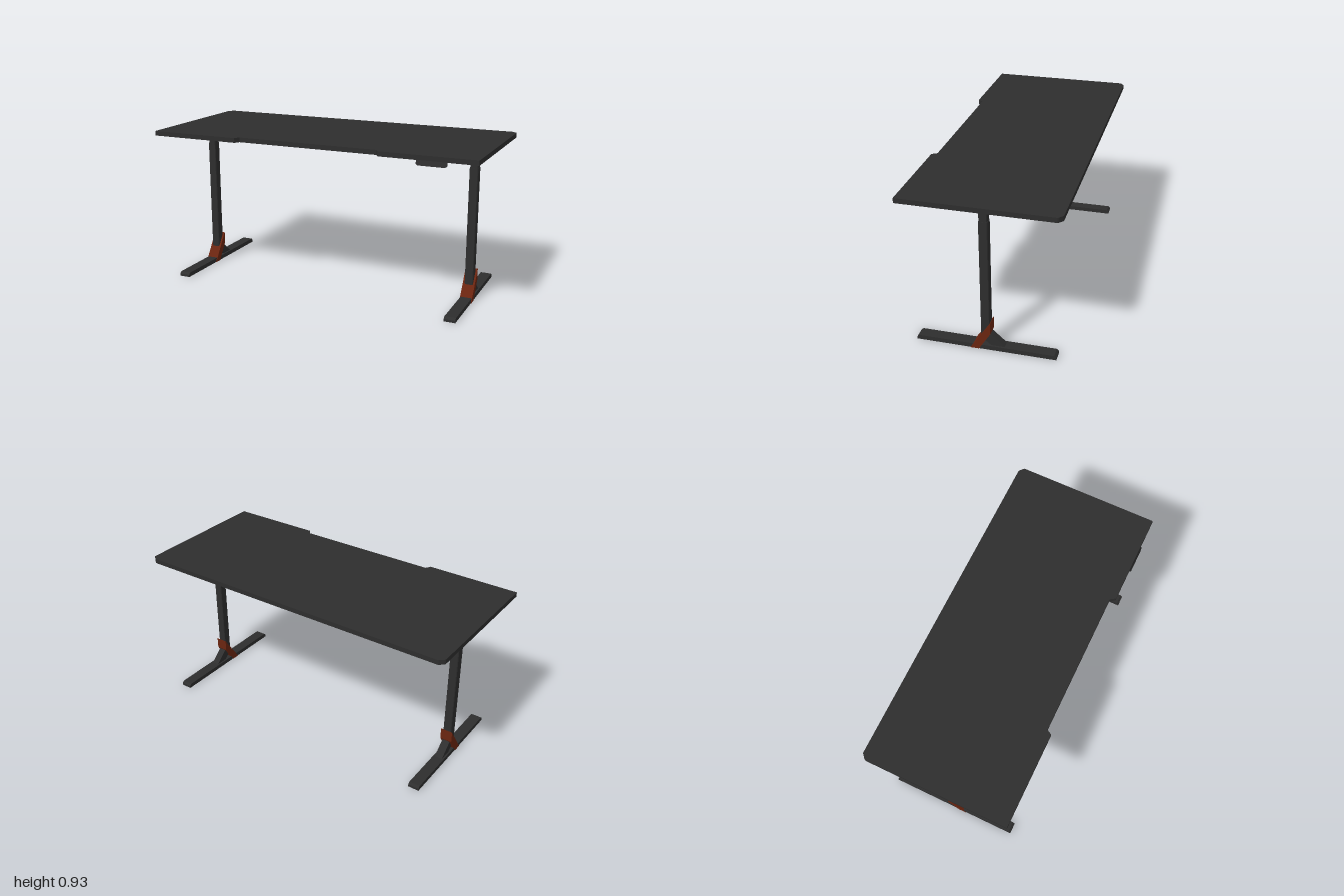
import * as THREE from 'three';

const dark = new THREE.MeshStandardMaterial({ color: 0x2e2e2e });
dark.name = 'charcoal';
const rust = new THREE.MeshStandardMaterial({ color: 0x6b2510 });
rust.name = 'rust';

const toShape = (pts) => new THREE.Shape(pts.map(([a, b]) => new THREE.Vector2(a, b)));

function add(parent, name, geometry, material, x = 0, y = 0, z = 0) {
  const mesh = new THREE.Mesh(geometry, material);
  mesh.name = name;
  mesh.position.set(x, y, z);
  parent.add(mesh);
  return mesh;
}

// Side outline in (z, y), extruded along x and centred on x = 0
function sideProfile(shape, width) {
  const g = new THREE.ExtrudeGeometry(shape, { depth: width, bevelEnabled: false });
  return g.rotateY(-Math.PI / 2).translate(width / 2, 0, 0);
}

// Plan outline in (x, -z), extruded upward from y0 to y1
function upright(shape, y0, y1) {
  const g = new THREE.ExtrudeGeometry(shape, { depth: y1 - y0, bevelEnabled: false });
  return g.rotateX(-Math.PI / 2).translate(0, y0, 0);
}

// Square tube outline with chamfered corners
function tubeShape(h, c) {
  return toShape([[-h + c, -h], [h - c, -h], [h, -h + c], [h, h - c],
    [h - c, h], [-h + c, h], [-h, h - c], [-h, -h + c]]);
}

// Slotted plate under the desktop
function bracketGeometry() {
  const half = [[0.022, 0.843], [0.225, 0.872], [0.232, 0.875], [0.235, 0.882], [0.235, 0.897]];
  const shape = toShape([...half, ...half.map(([z, y]) => [-z, y]).reverse()]);
  const slots = [];
  for (const z of [0.06, 0.109, 0.156, 0.203]) slots.push([z, 0.884]);
  for (const z of [0.048, 0.095]) slots.push([z, 0.867]);
  for (const [z, y] of slots) {
    for (const s of [-1, 1]) {
      const c = s * z, w = 0.0175, h = 0.005;
      shape.holes.push(new THREE.Path([[c - w, y - h], [c - w, y + h], [c + w, y + h], [c + w, y - h]]
        .map(([a, b]) => new THREE.Vector2(a, b))));
    }
  }
  return sideProfile(shape, 0.01);
}

function createLeg(side) {
  const leg = new THREE.Group();
  leg.name = side > 0 ? 'leftLeg' : 'rightLeg';
  leg.position.x = side * 0.865;

  add(leg, 'foot', sideProfile(toShape([[-0.398, 0], [0.395, 0], [0.395, 0.014],
    [0.383, 0.026], [-0.386, 0.026], [-0.398, 0.014]]), 0.066), dark);

  // Lower column, its end cut along the slope of the brace
  const column = upright(tubeShape(0.025, 0.004), 0.09, 0.787);
  const p = column.attributes.position;
  for (let i = 0; i < p.count; i++) {
    if (p.getY(i) < 0.2) p.setY(i, 0.097 - p.getZ(i) * 0.6);
  }
  column.computeVertexNormals();
  add(leg, 'lowerColumn', column, dark);
  add(leg, 'upperColumn', upright(tubeShape(0.023, 0.004), 0.78, 0.897), dark);

  // Braces wrapping the foot and holding the column
  add(leg, 'frontBrace', sideProfile(toShape([[0.085, 0], [-0.031, 0.176],
    [-0.031, 0.106], [0.036, 0]]), 0.072), rust);
  add(leg, 'rearBrace', sideProfile(toShape([[-0.025, 0.1], [-0.11, 0.024],
    [-0.033, 0.024], [0.006, 0.056]]), 0.046), dark);

  add(leg, 'topBracket', bracketGeometry(), rust, side * 0.03);
  return leg;
}

export function createModel() {
  const desk = new THREE.Group();
  desk.name = 'desk';

  // Desktop with clipped rear corners and a front recess
  add(desk, 'desktop', upright(toShape([
    [-1, -0.43], [-0.447, -0.43], [-0.43, -0.4], [0.423, -0.4], [0.443, -0.43], [1, -0.43],
    [1, 0.41], [0.996, 0.416], [0.975, 0.434], [0.969, 0.437],
    [-0.969, 0.437], [-0.975, 0.434], [-0.996, 0.416], [-1, 0.41],
  ]), 0.897, 0.925), dark);

  add(desk, 'crossbeam', new THREE.BoxGeometry(1.69, 0.049, 0.04), dark, 0, 0.8725, 0);

  for (const side of [-1, 1]) desk.add(createLeg(side));

  // Tilted control panel hanging below the front edge
  const panel = toShape([[0.66, 0.898], [0.66, 0.878], [0.668, 0.87], [0.822, 0.87],
    [0.83, 0.878], [0.83, 0.898]]);
  const panelGeometry = new THREE.ExtrudeGeometry(panel, { depth: 0.009, bevelEnabled: false });
  const q = panelGeometry.attributes.position;
  for (let i = 0; i < q.count; i++) q.setZ(i, q.getZ(i) + (0.898 - q.getY(i)) * 0.25);
  panelGeometry.computeVertexNormals();
  add(desk, 'controlPanel', panelGeometry, dark, 0, 0, 0.421);

  return desk;
}
